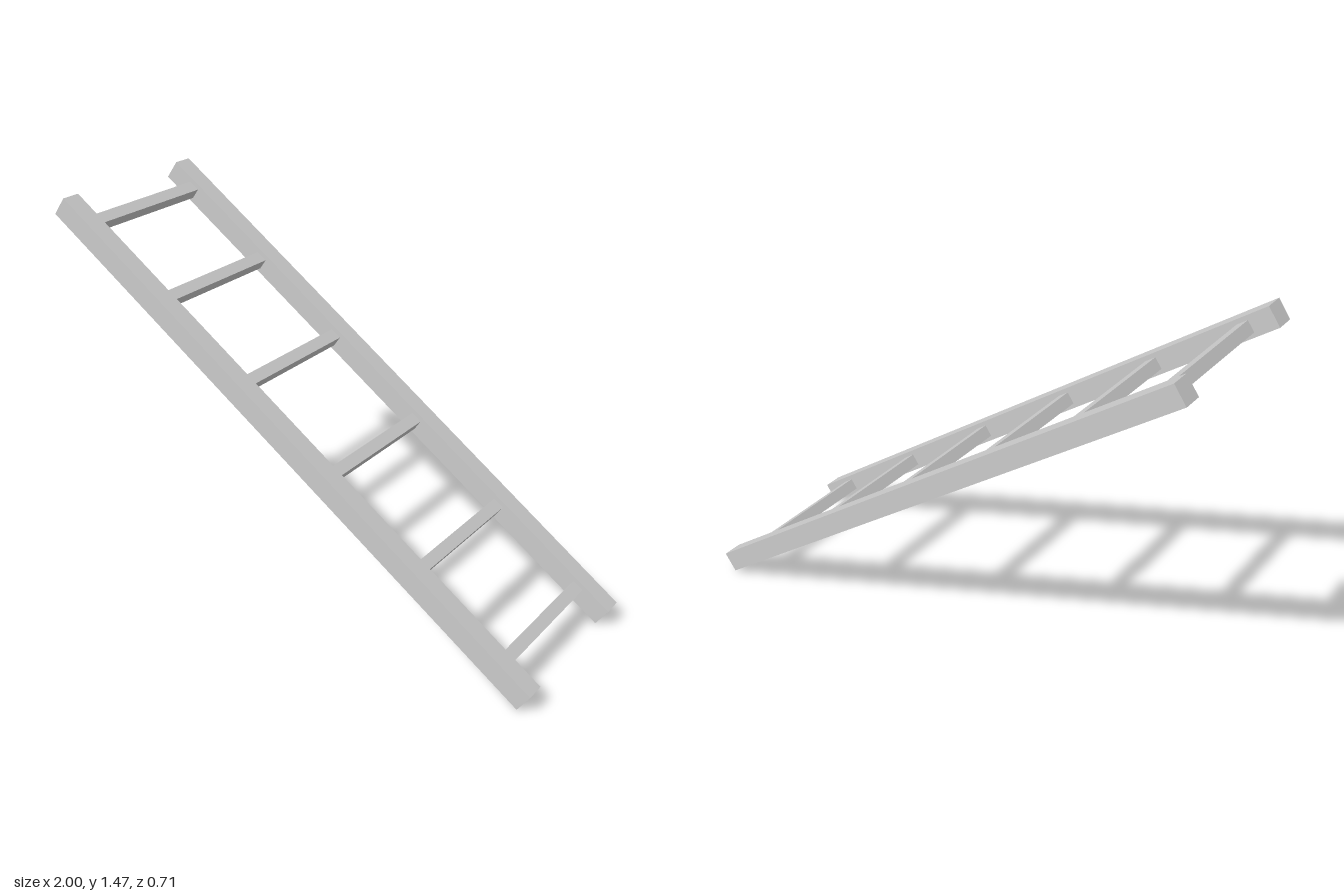
import * as THREE from 'three';

export function createModel() {
  const ladder = new THREE.Group();
  ladder.name = 'ladder';
  const material = new THREE.MeshStandardMaterial({ color: 0xcccccc, flatShading: true });

  const addBar = (name, length, height, depth, x, z) => {
    const bar = new THREE.Mesh(new THREE.BoxGeometry(length, height, depth), material);
    bar.name = name;
    bar.position.set(x, 0, z);
    ladder.add(bar);
  };

  // Two long side rails
  for (const side of [1, -1]) {
    addBar(side > 0 ? 'frontRail' : 'backRail', 2.405, 0.08, 0.077, 0, side * 0.319);
  }

  // Square rungs, slightly uneven in spacing along the rails
  [-1.085, -0.685, -0.258, 0.193, 0.64, 1.06].forEach((along, i) => {
    addBar(`rung${i + 1}`, 0.046, 0.046, 0.566, along, 0);
  });

  // Lean the whole ladder, low end toward +x
  ladder.rotation.z = -Math.atan2(1.402, 1.954);
  ladder.position.y = 0.733;

  const model = new THREE.Group();
  model.name = 'leaningLadder';
  model.add(ladder);
  return model;
}
